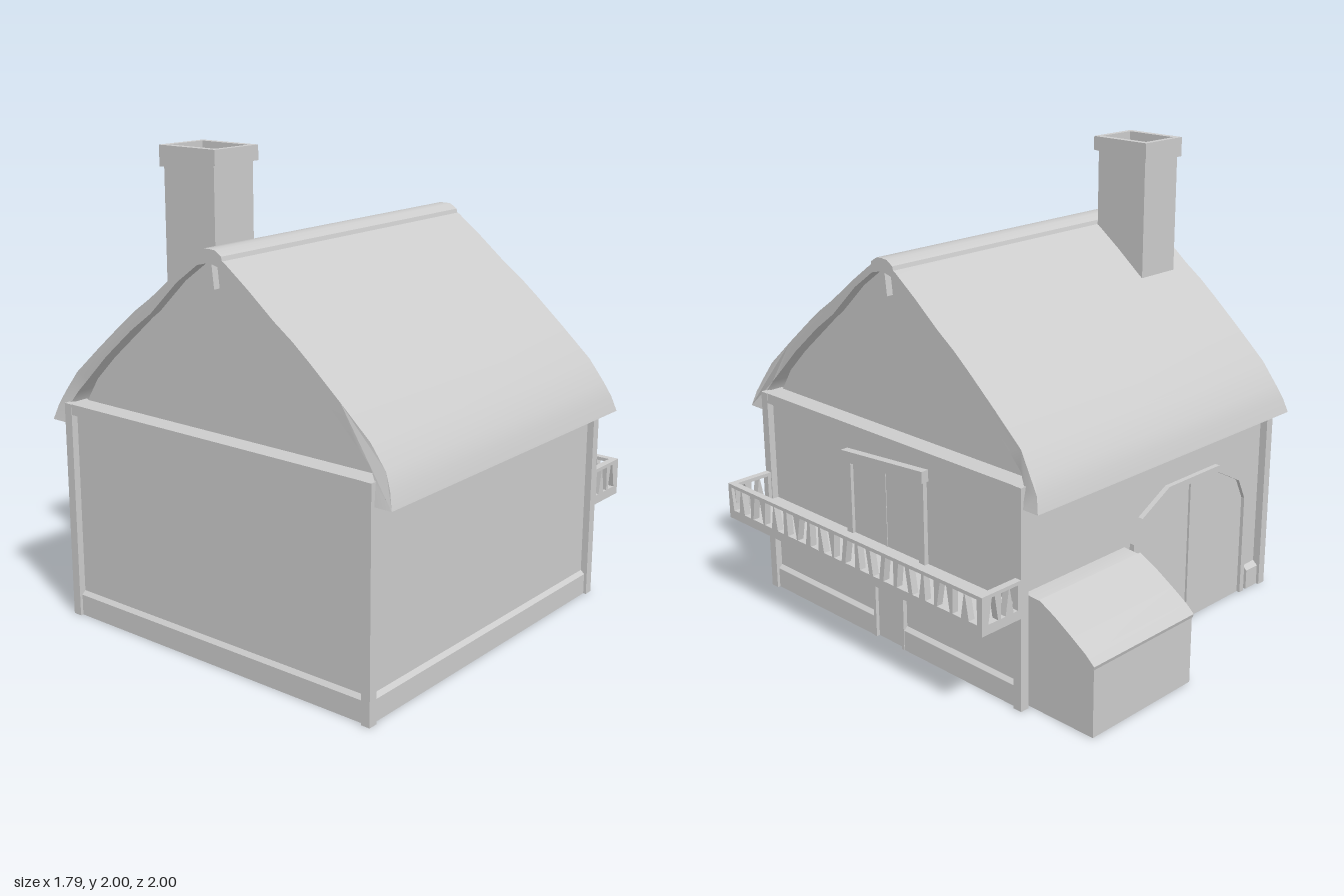
import * as THREE from 'three';
import { toCreasedNormals } from 'three/addons/utils/BufferGeometryUtils.js';

const mat = new THREE.MeshStandardMaterial({ color: 0xcccccc, side: THREE.DoubleSide });
const MID = 0.125; // z of the ridge

function add(group, name, geo) {
  const m = new THREE.Mesh(geo, mat);
  m.name = name;
  group.add(m);
  return m;
}

// Box from its limits
function box(group, name, x0, x1, y0, y1, z0, z1) {
  const g = new THREE.BoxGeometry(x1 - x0, y1 - y0, z1 - z0);
  g.translate((x0 + x1) / 2, (y0 + y1) / 2, (z0 + z1) / 2);
  return add(group, name, g);
}

const toShape = (pts) => new THREE.Shape(pts.map(([a, b]) => new THREE.Vector2(a, b)));

function extrude(shape, depth) {
  return new THREE.ExtrudeGeometry(shape, { depth, bevelEnabled: false });
}

// Extrude a (z, y) outline from x0 to x1
function extrudeX(shape, x0, x1) {
  return extrude(shape, x1 - x0).rotateY(-Math.PI / 2).translate(x1, 0, 0);
}

// Extrude an (x, y) outline from z0 to z1
function extrudeZ(shape, z0, z1) {
  return extrude(shape, z1 - z0).translate(0, 0, z0);
}

// Mirror half a section (distance from ridge, y) into a full run, +z to -z
function mirrored(half) {
  const left = half.map(([d, y]) => [MID + d, y]);
  const right = half.filter(([d]) => d > 0).map(([d, y]) => [MID - d, y]).reverse();
  return left.concat(right);
}

// Band following an outer outline, open at the foot
function arch(outer, inner) {
  return toShape(outer.concat(inner.slice().reverse()));
}

// Railing panel with uneven tapered openings
function railing(a, b, n) {
  const s = toShape([[a, 0.40], [b, 0.40], [b, 0.56], [a, 0.56]]);
  const step = (b - a - 0.03) / n;
  for (let i = 0; i < n; i++) {
    const l = a + 0.015 + i * step + 0.012, r = l + step - 0.024;
    const t = 0.010 * Math.sin(i * 2.1), u = 0.010 * Math.cos(i * 1.7);
    s.holes.push(new THREE.Path([
      new THREE.Vector2(l + t, 0.44), new THREE.Vector2(l - t, 0.545),
      new THREE.Vector2(r + u, 0.545), new THREE.Vector2(r - u, 0.44)]));
  }
  return s;
}

export function createModel() {
  const house = new THREE.Group();
  house.name = 'house';

  // Walls and gables
  box(house, 'walls', -0.87, 0.66, 0, 0.92, -0.635, 0.885);
  const under = [[0.76, 0.92], [0.69, 1.03], [0.58, 1.14], [0.43, 1.27], [0.315, 1.37], [0.17, 1.51], [0.06, 1.595], [0, 1.61]];
  add(house, 'gables', extrudeX(toShape(mirrored(under)), -0.81, 0.60));

  // Roof shell, flared at the eaves
  const top = [[0.875, 0.845], [0.855, 0.91], [0.825, 0.97], [0.755, 1.06], [0.62, 1.18], [0.48, 1.30], [0.40, 1.365],
    [0.315, 1.425], [0.19, 1.525], [0.075, 1.61], [0, 1.635]];
  const below = [[0.80, 0.845], [0.79, 0.92], [0.755, 0.975], [0.69, 1.04], [0.58, 1.15], [0.43, 1.28],
    [0.315, 1.365], [0.17, 1.505], [0.06, 1.585], [0, 1.60]];
  const roof = extrudeX(arch(mirrored(top), mirrored(below)), -0.86, 0.65);
  const p = roof.attributes.position;
  for (let i = 0; i < p.count; i++) {
    const flare = 0.035 * Math.min(1, Math.max(0, (0.98 - p.getY(i)) / 0.13));
    p.setX(i, p.getX(i) + (p.getX(i) > 0 ? flare : -flare));
  }
  add(house, 'roof', toCreasedNormals(roof, 0.5));
  const cap = [[0.07, 1.60], [0.062, 1.63], [0.03, 1.65], [0, 1.652]];
  add(house, 'ridgeCap', toCreasedNormals(extrudeX(toShape(mirrored(cap)), -0.86, 0.65), 0.6));

  // Small wedge under each ridge end
  for (const x of [-0.85, 0.61])
    add(house, 'ridgeWedge', extrudeX(toShape([[0.11, 1.50], [0.14, 1.50], [0.128, 1.60], [0.122, 1.60]]), x, x + 0.03));

  // Corner posts
  for (const x of [-0.90, 0.65])
    for (const z of [-0.67, 0.875]) box(house, 'cornerPost', x, x + 0.04, 0, 0.93, z, z + 0.04);

  // Gable beams
  box(house, 'gableBeam', 0.59, 0.688, 0.885, 0.93, -0.65, 0.9);
  box(house, 'gableBeam', -0.898, -0.80, 0.885, 0.93, -0.65, 0.9);

  // Base boards with a sloped top edge, broken at the doors
  const board = (z) => [[z, 0], [z + 0.022, 0], [z + 0.022, 0.09], [z, 0.11]];
  add(house, 'baseBoard', extrudeX(toShape(board(0.88)), -0.87, 0.66));
  const back = board(0.63).map(([z, y]) => [-z - 0.005, y]);
  for (const [a, b] of [[-0.87, -0.78], [0.03, 0.66]]) add(house, 'baseBoard', extrudeX(toShape(back), a, b));
  for (const [z0, z1] of [[-0.64, 0.02], [0.21, 0.88]])
    add(house, 'baseBoard', extrudeZ(toShape(board(0.655)), z0, z1));
  add(house, 'baseBoard', extrudeZ(toShape(board(0.865).map(([x, y]) => [-x, y])), -0.64, 0.88));

  // Chimney with a hollow collar
  const rect = (x0, x1, z0, z1) => [[x0, -z0], [x1, -z0], [x1, -z1], [x0, -z1]];
  const tube = (o, i, y0, y1) => {
    const s = toShape(o);
    s.holes.push(new THREE.Path(i.map(([a, b]) => new THREE.Vector2(a, b))));
    return extrude(s, y1 - y0).rotateX(-Math.PI / 2).translate(0, y0, 0);
  };
  const flue = rect(-0.73, -0.55, -0.195, 0.045);
  add(house, 'chimney', tube(rect(-0.75, -0.535, -0.205, 0.055), flue, 1.30, 1.98));
  box(house, 'chimneyFloor', -0.74, -0.54, 1.90, 1.93, -0.2, 0.05);
  const collar = tube(rect(-0.76, -0.52, -0.22, 0.07), flue, 1.93, 2.0);
  const c = collar.attributes.position;
  for (let i = 0; i < c.count; i++)
    if (c.getY(i) < 1.95) c.setY(i, 1.935 + c.getZ(i) * 0.08);
  collar.computeVertexNormals();
  add(house, 'chimneyCollar', collar);

  // Balcony
  const balcony = new THREE.Group();
  balcony.name = 'balcony';
  house.add(balcony);
  box(balcony, 'balconyFloor', 0.65, 0.89, 0.40, 0.435, -0.665, 0.905);
  add(balcony, 'frontRailing', extrudeX(railing(-0.67, 0.91, 20), 0.865, 0.895));
  for (const z of [-0.67, 0.88]) add(balcony, 'sideRailing', extrudeZ(railing(0.68, 0.88, 3), z, z + 0.03));

  // Balcony double door with a tilted lintel
  box(house, 'balconyDoor', 0.655, 0.665, 0.435, 0.78, -0.09, 0.34);
  for (const [a, b] of [[-0.12, -0.085], [0.33, 0.365]]) box(house, 'doorJamb', 0.65, 0.68, 0.435, 0.79, a, b);
  box(house, 'doorSeam', 0.655, 0.668, 0.435, 0.78, 0.122, 0.128);
  add(house, 'doorLintel', extrudeX(toShape([[0.37, 0.755], [0.37, 0.805], [-0.13, 0.845], [-0.13, 0.795]]), 0.65, 0.695));

  // Small arched door below the balcony
  const doorway = (hw, h) => {
    const pts = [[0.115 + hw, 0]];
    for (let i = 0; i <= 8; i++) {
      const a = (i / 8) * Math.PI;
      pts.push([0.115 + hw * Math.cos(a), h - 0.07 + 0.07 * Math.sin(a)]);
    }
    return pts.concat([[0.115 - hw, 0]]);
  };
  add(house, 'smallDoor', extrudeX(toShape(doorway(0.08, 0.325)), 0.65, 0.664));
  add(house, 'smallDoorFrame', extrudeX(arch(doorway(0.095, 0.345), doorway(0.08, 0.325)), 0.65, 0.68));

  // Large barn door on the back wall
  const barn = (k, h) => [[0.39, 0], [0.39, 0.48], [0.34, 0.58], [0.17, 0.67], [-0.17, 0.67], [-0.34, 0.58], [-0.39, 0.48], [-0.39, 0]]
    .map(([x, y]) => [-0.37 + x * k, y * h]);
  add(house, 'barnDoor', extrudeZ(toShape(barn(0.93, 0.96)), -0.642, -0.63));
  add(house, 'barnDoorFrame', extrudeZ(arch(barn(1, 1), barn(0.93, 0.96)), -0.658, -0.63));
  box(house, 'barnDoorBatten', -0.39, -0.35, 0, 0.64, -0.652, -0.63);

  // Lean-to shed
  const lean = [[-0.63, 0], [-0.63, 0.475], [-0.71, 0.47], [-0.79, 0.43], [-0.88, 0.375], [-0.95, 0.33], [-0.99, 0.295], [-0.99, 0]];
  add(house, 'shed', toCreasedNormals(extrudeX(toShape(lean), 0.055, 0.635), 0.5));
  const skin = lean.slice(2, 7);
  add(house, 'shedRoof', toCreasedNormals(extrudeX(
    arch(skin.map(([z, y]) => [z - 0.005, y + 0.006]), skin.map(([z, y]) => [z, y - 0.01])), 0.05, 0.64), 0.5));

  return house;
}
